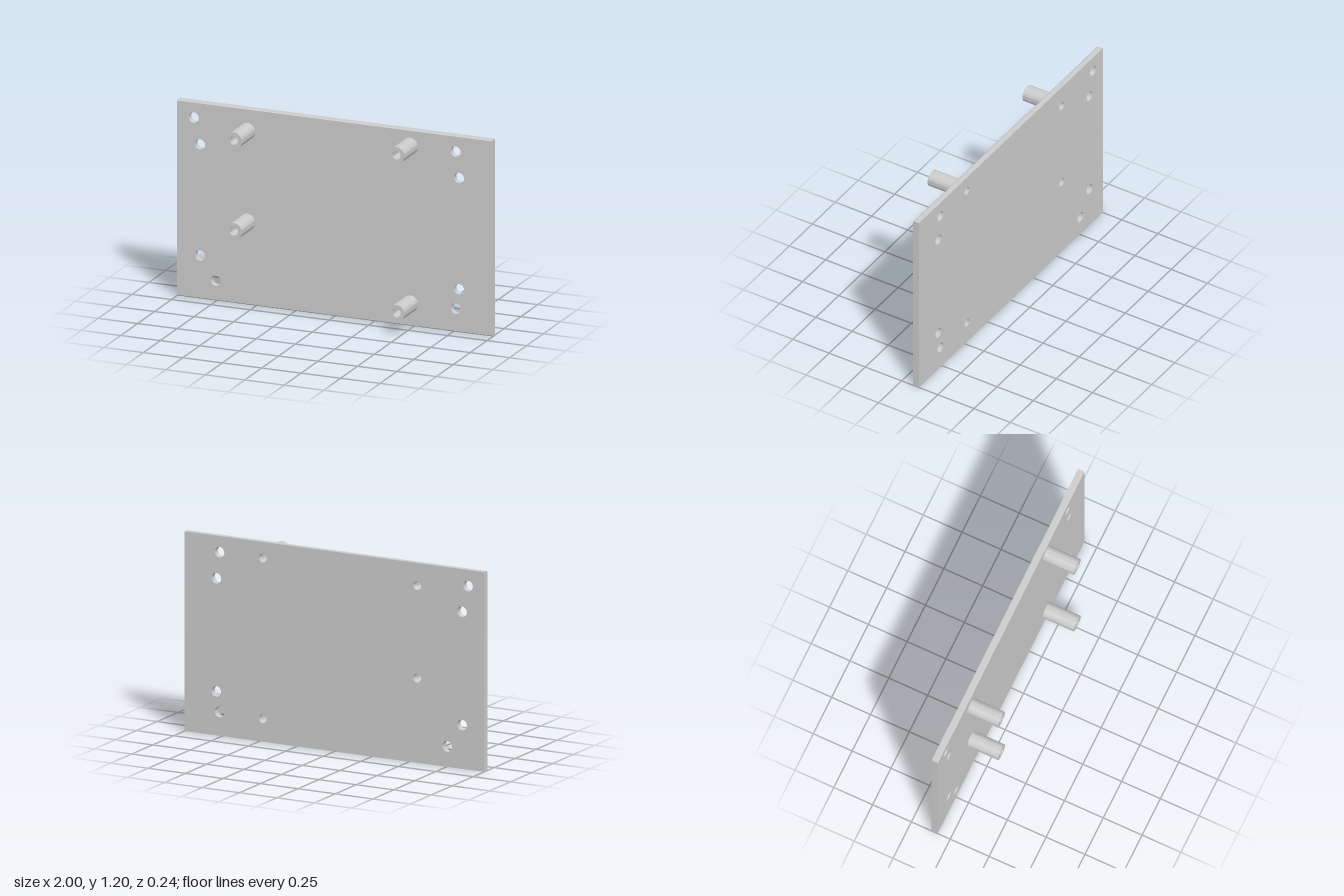
import * as THREE from 'three';
import { toCreasedNormals } from 'three/addons/utils/BufferGeometryUtils.js';

const WIDTH = 2, HEIGHT = 1.2, BACK = -0.12, THICK = 0.04, CHAMFER = 0.006;
const POST_R = 0.05, BORE_R = 0.026, HOLE_R = 0.032, POST_LENGTH = 0.2;

const posts = [[-0.553, 1.063], [-0.553, 0.508], [0.478, 1.102], [0.478, 0.138]];
const holes = [
  [-0.893, 1.103], [-0.853, 0.944], [-0.853, 0.264], [-0.754, 0.123],
  [0.767, 1.103], [0.788, 0.944], [0.788, 0.264], [0.767, 0.143],
];

const circle = (x, y, r) => new THREE.Path().absarc(x, y, r, 0, Math.PI * 2, true);

// Flat plate with through holes; top and bottom front edges are lightly chamfered
function plateGeometry() {
  const w = WIDTH / 2;
  const shape = new THREE.Shape([
    new THREE.Vector2(-w, 0), new THREE.Vector2(w, 0),
    new THREE.Vector2(w, HEIGHT), new THREE.Vector2(-w, HEIGHT),
  ]);
  for (const [x, y] of holes) shape.holes.push(circle(x, y, HOLE_R));
  for (const [x, y] of posts) shape.holes.push(circle(x, y, BORE_R));
  const geo = new THREE.ExtrudeGeometry(shape, { depth: THICK, steps: 6, bevelEnabled: false, curveSegments: 32 });
  const p = geo.attributes.position;
  for (let i = 0; i < p.count; i++) {
    if (p.getZ(i) < THICK - 1e-5) continue;
    p.setY(i, THREE.MathUtils.clamp(p.getY(i), CHAMFER, HEIGHT - CHAMFER));
  }
  return toCreasedNormals(geo, 0.6);
}

// Hollow round standoff
function postGeometry() {
  const shape = new THREE.Shape().absarc(0, 0, POST_R, 0, Math.PI * 2, false);
  shape.holes.push(circle(0, 0, BORE_R));
  const geo = new THREE.ExtrudeGeometry(shape, { depth: POST_LENGTH, bevelEnabled: false, curveSegments: 32 });
  return toCreasedNormals(geo, 0.6);
}

export function createModel() {
  const model = new THREE.Group();
  model.name = 'mountingPlate';
  const material = new THREE.MeshStandardMaterial({ color: 0xcccccc });

  const plate = new THREE.Mesh(plateGeometry(), material);
  plate.name = 'plate';
  plate.position.z = BACK;
  model.add(plate);

  const geo = postGeometry();
  posts.forEach(([x, y], i) => {
    const post = new THREE.Mesh(geo, material);
    post.name = `standoff${i + 1}`;
    post.position.set(x, y, BACK + THICK);
    model.add(post);
  });
  return model;
}
